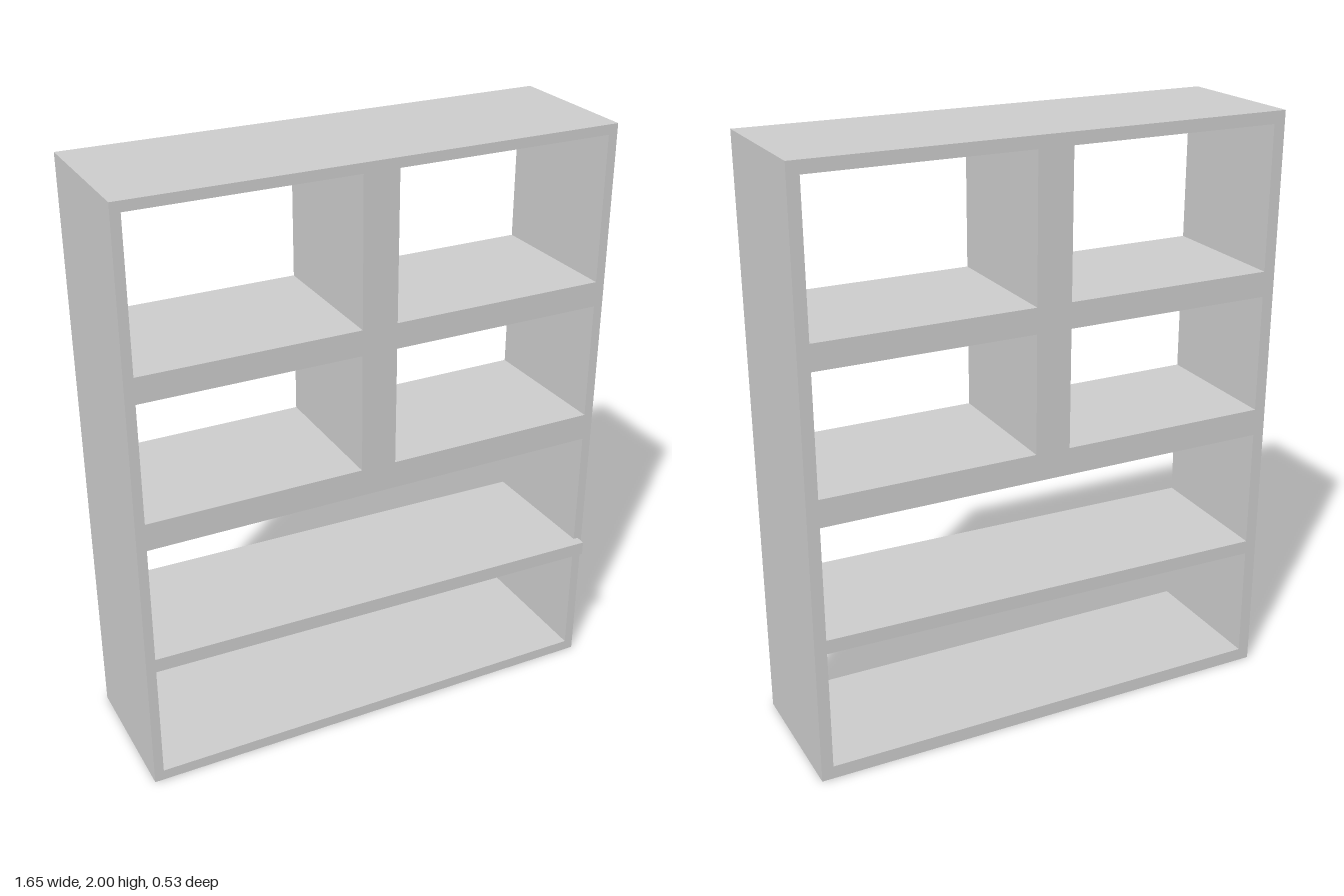
import * as THREE from 'three';

const BACK = -0.266, FRONT = 0.231, DEPTH = FRONT - BACK;
const W = 0.825, H = 2, WALL = 0.032, TAPER = 0.008;

export function createModel() {
  const group = new THREE.Group();
  const material = new THREE.MeshStandardMaterial({ color: 0xcccccc, flatShading: true });

  const add = (name, geometry) => {
    const mesh = new THREE.Mesh(geometry, material);
    mesh.name = name;
    group.add(mesh);
    return mesh;
  };

  // Full-depth board spanning x0..x1 and y0..y1
  const board = (name, x0, x1, y0, y1) => {
    const g = new THREE.BoxGeometry(x1 - x0, y1 - y0, DEPTH);
    g.translate((x0 + x1) / 2, (y0 + y1) / 2, (FRONT + BACK) / 2);
    return add(name, g);
  };

  // Outer boards grow slightly thicker toward the back, on the inner face only
  const thickenBack = (mesh, axis, inner, amount) => {
    const p = mesh.geometry.attributes.position;
    for (let i = 0; i < p.count; i++) {
      if (p.getZ(i) < 0 && Math.abs(p.getComponent(i, axis) - inner) < 1e-4) {
        p.setComponent(i, axis, inner + amount);
      }
    }
    mesh.geometry.computeVertexNormals();
  };

  // Outer case
  const inX = W - WALL;
  thickenBack(board('rightSide', -W, -inX, 0, H), 0, -inX, TAPER);
  thickenBack(board('leftSide', inX, W, 0, H), 0, inX, -TAPER);
  thickenBack(board('bottomPanel', -inX, inX, 0, 0.037), 1, 0.037, TAPER);
  thickenBack(board('topPanel', -inX, inX, 1.967, H), 1, 1.967, -TAPER);

  // Thick fixed shelves
  board('middleShelf', -inX, inX, 0.895, 0.988);
  board('upperShelf', -inX, inX, 1.39, 1.476);

  // Central divider, above and below the upper shelf
  board('lowerDivider', -0.063, 0.057, 0.988, 1.39);
  board('upperDivider', -0.063, 0.057, 1.476, 1.967);

  // Loose thin shelf, turned so its left end sticks out of the front
  const shelf = add('looseShelf', new THREE.BoxGeometry(1.61, 0.048, DEPTH));
  shelf.position.set(0.01, 0.463, -0.0005);
  shelf.rotation.y = -0.0228;

  return group;
}
